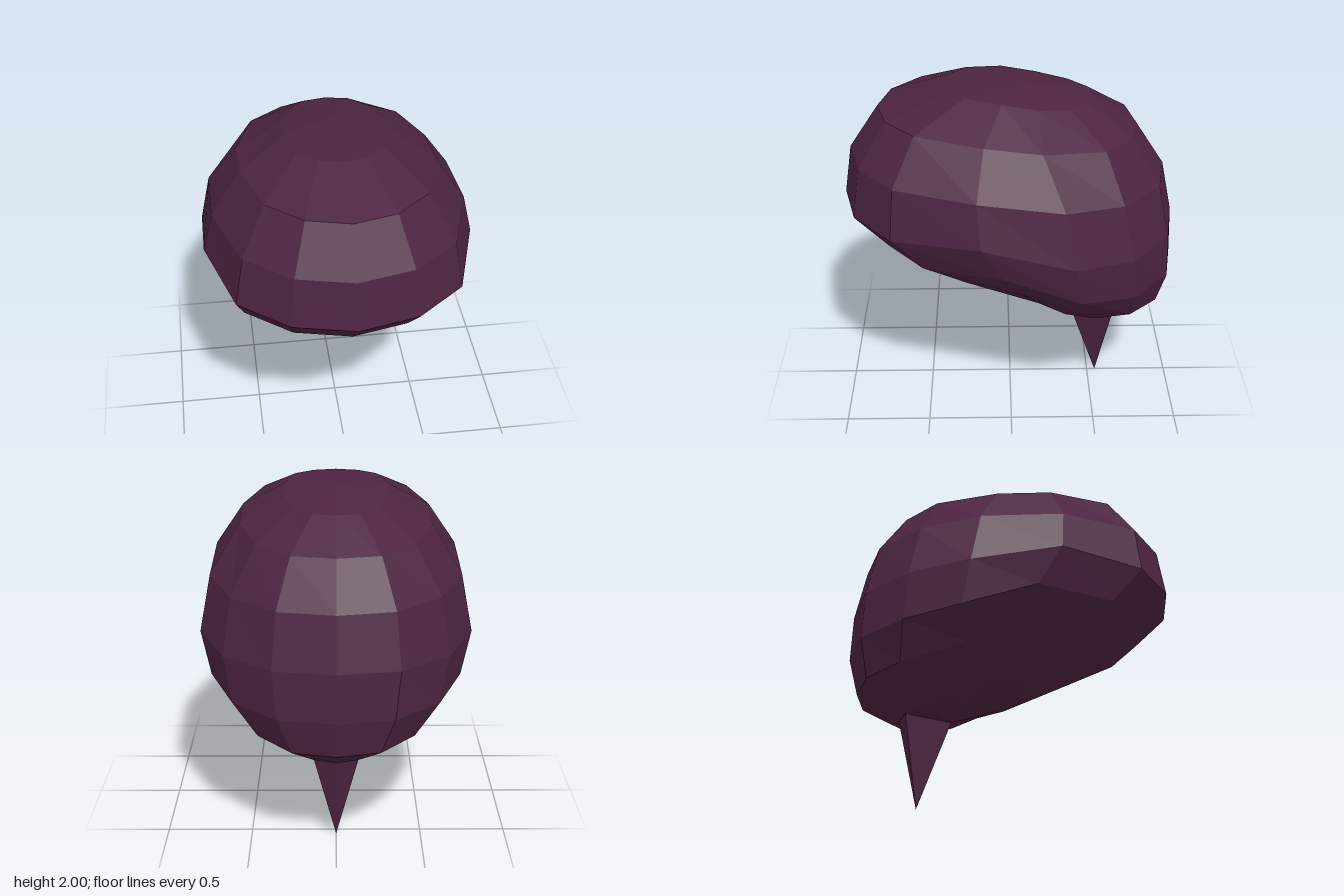
import * as THREE from 'three';

// Non-indexed geometry from a list of triangles (each three Vector3)
function fromTriangles(tris) {
  const geo = new THREE.BufferGeometry().setFromPoints(tris.flat());
  geo.computeVertexNormals();
  return geo;
}

// Closed skin over rings of equal count, with a pole point at each end
function skin(top, rings, bottom) {
  const tris = [];
  const n = rings[0].length;
  for (let k = 0; k < n; k++) {
    const m = (k + 1) % n;
    tris.push([top, rings[0][k], rings[0][m]]);
    for (let r = 0; r < rings.length - 1; r++) {
      const [a, b, c, d] = [rings[r][k], rings[r + 1][k], rings[r + 1][m], rings[r][m]];
      tris.push([a, b, c], [a, c, d]);
    }
    const last = rings[rings.length - 1];
    tris.push([last[k], bottom, last[m]]);
  }
  return fromTriangles(tris);
}

// Slanted ring of 14 points, given as [z, y] at the front, three side points and the back
function makeRing(radius, [front, side, rearSide, rear, back]) {
  const mix = (a, b, t) => a + (b - a) * t;
  const half = [
    front,
    [mix(front[0], side[0], 0.1), front[1]],
    [mix(front[0], side[0], 0.38), front[1]],
    side, rearSide, rear,
    [mix(rear[0], back[0], 0.8), mix(rear[1], back[1], 0.8)],
    back,
  ];
  return Array.from({ length: 14 }, (_, k) => {
    const [z, y] = half[k <= 7 ? k : 14 - k];
    return new THREE.Vector3(radius * Math.sin((k / 14) * Math.PI * 2), y, z);
  });
}

export function createModel() {
  const group = new THREE.Group();
  group.name = 'model';
  const plum = new THREE.MeshStandardMaterial({ color: 0x4d2441, flatShading: true });
  plum.name = 'plum';

  // Rounded body, rings from the top down
  const profiles = [
    [[0.38, 2.0], [0.05, 1.985], [-0.15, 1.95], [-0.34, 1.925], [-0.47, 1.92]],
    [[0.76, 1.865], [0.15, 1.84], [-0.17, 1.8], [-0.52, 1.765], [-0.73, 1.75]],
    [[0.93, 1.61], [0.19, 1.59], [-0.29, 1.53], [-0.62, 1.5], [-0.9, 1.49]],
    [[0.975, 1.32], [0.17, 1.34], [-0.35, 1.21], [-0.68, 1.18], [-0.965, 1.18]],
    [[0.78, 1.12], [0.04, 1.12], [-0.39, 0.96], [-0.7, 0.91], [-0.975, 0.9]],
    [[0.44, 0.935], [-0.06, 0.92], [-0.34, 0.81], [-0.7, 0.71], [-0.92, 0.68]],
    [[0.08, 0.73], [-0.17, 0.7], [-0.33, 0.62], [-0.52, 0.55], [-0.67, 0.525]],
  ];
  const rings = profiles.map((p, i) => makeRing(0.8 * Math.sin(((i + 1) * Math.PI) / 8), p));
  const bodyGeo = skin(new THREE.Vector3(0, 2, -0.11), rings, new THREE.Vector3(0, 0.54, -0.36));
  const body = new THREE.Mesh(bodyGeo, plum);
  body.name = 'body';
  group.add(body);

  // Four-sided stem tapering to a point below the rear
  const base = [[0, -0.36], [0.13, -0.64], [0, -0.67], [-0.13, -0.64]]
    .map(([x, z]) => new THREE.Vector3(x, 0.54, z));
  const stemGeo = skin(new THREE.Vector3(0, 0.54, -0.55), [base], new THREE.Vector3(0, 0, -0.55));
  const stem = new THREE.Mesh(stemGeo, plum);
  stem.name = 'stem';
  group.add(stem);

  return group;
}
